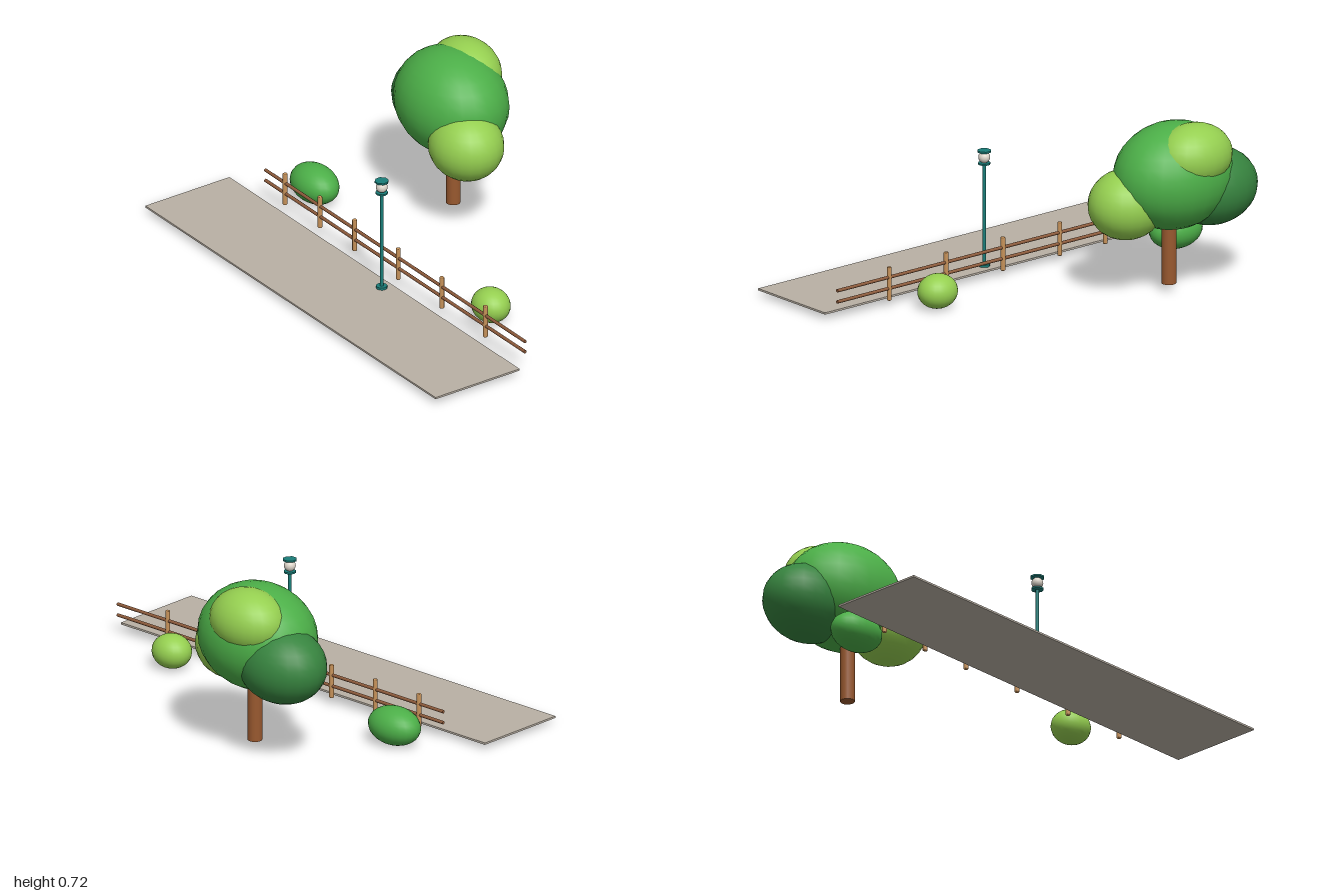
import * as THREE from 'three';

function mat(name, color) {
  const m = new THREE.MeshStandardMaterial({ color });
  m.name = name;
  return m;
}

export function createModel() {
  const M = {
    stone: mat('paving stone', 0xb9b0a4),
    bark: mat('bark brown', 0x99592f),
    leaf: mat('leaf green', 0x4caf48),
    darkLeaf: mat('dark leaf green', 0x37843f),
    lightLeaf: mat('light leaf green', 0x95cf50),
    post: mat('post tan', 0xc8935a),
    rail: mat('rail brown', 0x8f5c3c),
    teal: mat('lamp teal', 0x1a7d78),
    globe: mat('lamp globe', 0xe0d8cd),
  };
  const root = new THREE.Group();
  root.name = 'parkScene';

  function group(name) {
    const g = new THREE.Group();
    g.name = name;
    root.add(g);
    return g;
  }
  function add(parent, name, geometry, material, x, y, z) {
    const m = new THREE.Mesh(geometry, material);
    m.name = name;
    m.position.set(x, y, z);
    parent.add(m);
    return m;
  }
  // Ellipsoid with separate radii
  function blob(parent, name, material, [x, y, z], [rx, ry, rz]) {
    const m = add(parent, name, new THREE.SphereGeometry(1, 24, 16), material, x, y, z);
    m.scale.set(rx, ry, rz);
    return m;
  }
  // Upright cylinder from y0 to y1
  function column(parent, name, material, x, z, y0, y1, r, sides) {
    const geo = new THREE.CylinderGeometry(r, r, y1 - y0, sides);
    return add(parent, name, geo, material, x, (y0 + y1) / 2, z);
  }

  // Pavement slab
  add(root, 'pavement', new THREE.BoxGeometry(2, 0.008, 0.416), M.stone, 0, 0.028, 0.419);

  // Tree: trunk and overlapping crowns
  const tree = group('tree');
  column(tree, 'trunk', M.bark, -0.3, -0.395, 0.035, 0.4, 0.03, 16);
  blob(tree, 'mainCrown', M.leaf, [-0.32, 0.49, -0.4], [0.266, 0.221, 0.217]);
  blob(tree, 'leftCrown', M.darkLeaf, [-0.49, 0.42, -0.44], [0.2, 0.16, 0.162]);
  blob(tree, 'rightCrown', M.lightLeaf, [-0.128, 0.39, -0.335], [0.163, 0.145, 0.15]);
  blob(tree, 'topCrown', M.lightLeaf, [-0.35, 0.588, -0.49], [0.172, 0.133, 0.136]);

  // Bushes
  const bushes = group('bushes');
  blob(bushes, 'largeBush', M.leaf, [-0.685, 0.081, 0.015], [0.122, 0.079, 0.087]);
  blob(bushes, 'smallBush', M.lightLeaf, [0.556, 0.075, 0.034], [0.086, 0.071, 0.077]);

  // Fence: posts with softened ends and two long rails
  const fence = group('fence');
  const profile = [[0, 0], [0.007, 0], [0.01, 0.003], [0.01, 0.139], [0.007, 0.142], [0, 0.142]]
    .map(([r, y]) => new THREE.Vector2(r, y));
  const postGeo = new THREE.LatheGeometry(profile, 10);
  for (const x of [-0.68, -0.44, -0.2, 0.1, 0.4, 0.7]) {
    add(fence, 'fencePost', postGeo, M.post, x, 0.033, 0.165);
  }
  const railGeo = new THREE.CylinderGeometry(0.007, 0.007, 1.79, 10).rotateZ(Math.PI / 2);
  for (const y of [0.084, 0.131]) {
    add(fence, 'fenceRail', railGeo, M.rail, 0.08, y, 0.165);
  }

  // Street lamp
  const lamp = group('streetLamp');
  const lx = 0.118, lz = 0.26;
  column(lamp, 'lampBase', M.teal, lx, lz, 0.032, 0.042, 0.023, 12);
  column(lamp, 'lampPole', M.teal, lx, lz, 0.04, 0.466, 0.007, 12);
  column(lamp, 'lampCollar', M.teal, lx, lz, 0.463, 0.47, 0.025, 12);
  blob(lamp, 'lampGlobe', M.globe, [lx, 0.493, lz], [0.024, 0.024, 0.024]);
  column(lamp, 'lampCap', M.teal, lx, lz, 0.515, 0.522, 0.029, 8).rotation.y = Math.PI / 8;

  return root;
}
